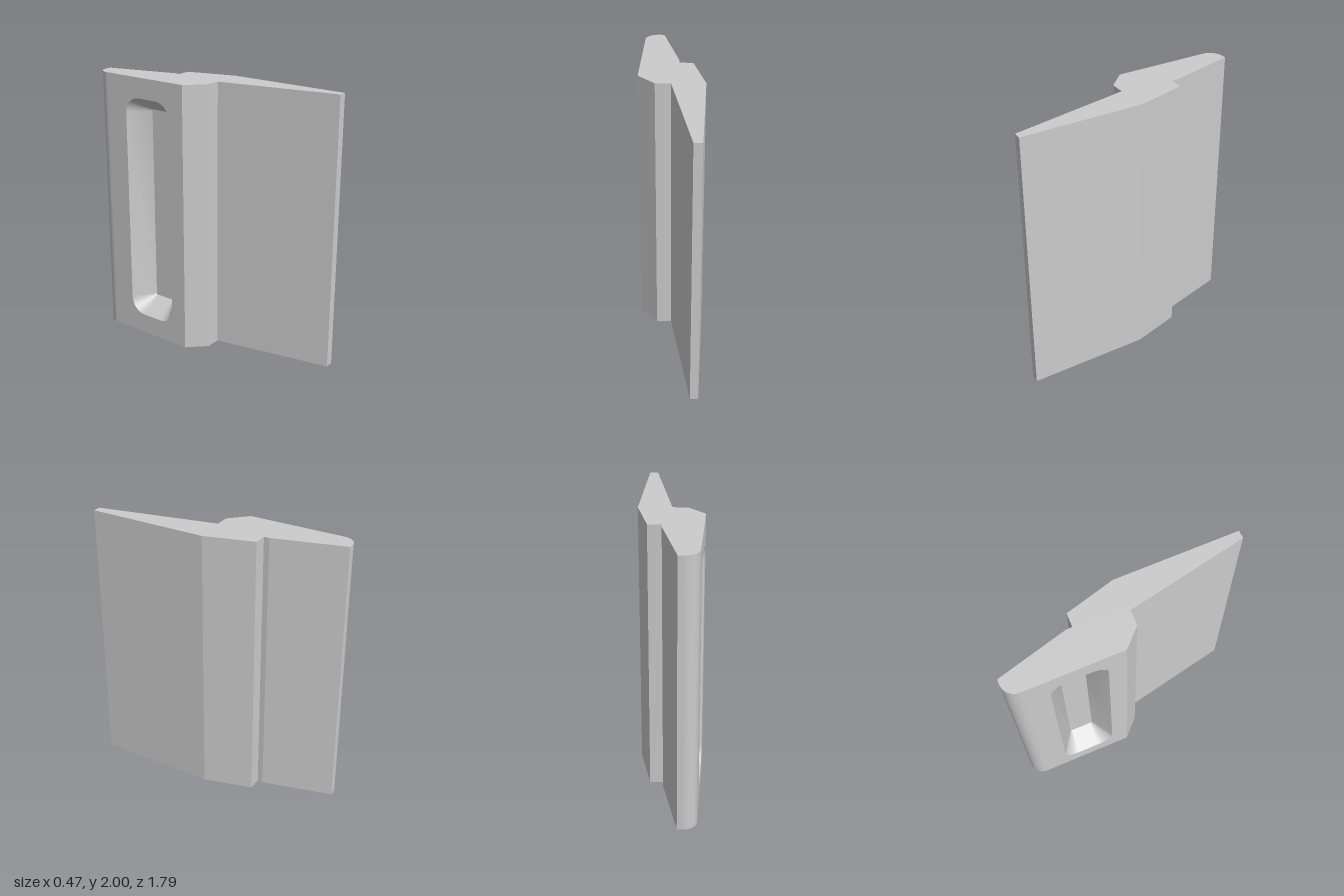
import * as THREE from 'three';
import { toCreasedNormals } from 'three/addons/utils/BufferGeometryUtils.js';

const HEIGHT = 2, FACE_X = -0.235;
const material = new THREE.MeshStandardMaterial({ color: 0xcccccc });

// Counter-clockwise rounded rectangle of the pocket (u = z, v = y), shrunk by inset
function pocketLoop(inset, r, steps = 10) {
  const u0 = -0.62 + inset, u1 = -0.22 - inset, v0 = 0.15 + inset, v1 = 1.85 - inset;
  const centres = [[u1 - r, v0 + r], [u1 - r, v1 - r], [u0 + r, v1 - r], [u0 + r, v0 + r]];
  return centres.flatMap(([u, v], k) => Array.from({ length: steps + 1 }, (_, i) => {
    const a = (k - 1 + i / steps) * Math.PI / 2;
    return new THREE.Vector2(u + r * Math.cos(a), v + r * Math.sin(a));
  }));
}

// Constant section extruded upwards; the flat side that carries the pocket is left open
function bodyGeometry() {
  const s = new THREE.Shape();
  s.moveTo(FACE_X, 0.095);
  [[-0.11, -0.03], [0, -0.03], [0.177, -0.895], [0.235, -0.895], [0.235, -0.01], [0.137, 0.345],
    [0.038, 0.345], [0.038, 0.385], [-0.1, 0.895], [-0.135, 0.895]].forEach(([x, y]) => s.lineTo(x, y));
  s.absarc(-0.135, 0.795, 0.1, Math.PI / 2, Math.PI, false);
  const g = new THREE.ExtrudeGeometry(s, { depth: HEIGHT, bevelEnabled: false, curveSegments: 16 })
    .rotateX(-Math.PI / 2);
  const p = g.attributes.position, kept = [];
  for (let i = 0; i < p.count; i += 3) {
    const open = [0, 1, 2].every(k => Math.abs(p.getX(i + k) - FACE_X) < 1e-5);
    if (!open) for (let k = 0; k < 3; k++) kept.push(p.getX(i + k), p.getY(i + k), p.getZ(i + k));
  }
  const out = new THREE.BufferGeometry();
  out.setAttribute('position', new THREE.Float32BufferAttribute(kept, 3));
  return toCreasedNormals(out, 0.2);
}

// Tapered wall between two matching loops
function wallGeometry(outer, inner, depth) {
  const pos = [];
  outer.forEach((a, i) => {
    const j = (i + 1) % outer.length, b = outer[j], c = inner[j], d = inner[i];
    pos.push(a.x, a.y, 0, b.x, b.y, 0, c.x, c.y, -depth);
    pos.push(a.x, a.y, 0, c.x, c.y, -depth, d.x, d.y, -depth);
  });
  const g = new THREE.BufferGeometry();
  g.setAttribute('position', new THREE.Float32BufferAttribute(pos, 3));
  return toCreasedNormals(g, 0.4);
}

export function createModel() {
  const model = new THREE.Group();
  model.name = 'profileBlock';
  const add = (parent, name, geometry) => {
    const m = new THREE.Mesh(geometry, material);
    m.name = name;
    parent.add(m);
    return m;
  };
  add(model, 'body', bodyGeometry());

  // Flat side with its recessed pocket, built facing +z and turned to face -x
  const side = new THREE.Group();
  side.name = 'pocketSide';
  side.rotation.y = -Math.PI / 2;
  side.position.x = FACE_X;
  model.add(side);

  const depth = 0.16, mouth = pocketLoop(0, 0.12), floor = pocketLoop(0.11, 0.01);
  const plate = new THREE.Shape([[-0.795, 0], [-0.095, 0], [-0.095, HEIGHT], [-0.795, HEIGHT]]
    .map(([u, v]) => new THREE.Vector2(u, v)));
  plate.holes.push(new THREE.Path(mouth));
  add(side, 'sideFace', new THREE.ShapeGeometry(plate));
  add(side, 'pocketWall', wallGeometry(mouth, floor, depth));
  add(side, 'pocketFloor', new THREE.ShapeGeometry(new THREE.Shape(floor))).position.z = -depth;
  return model;
}
